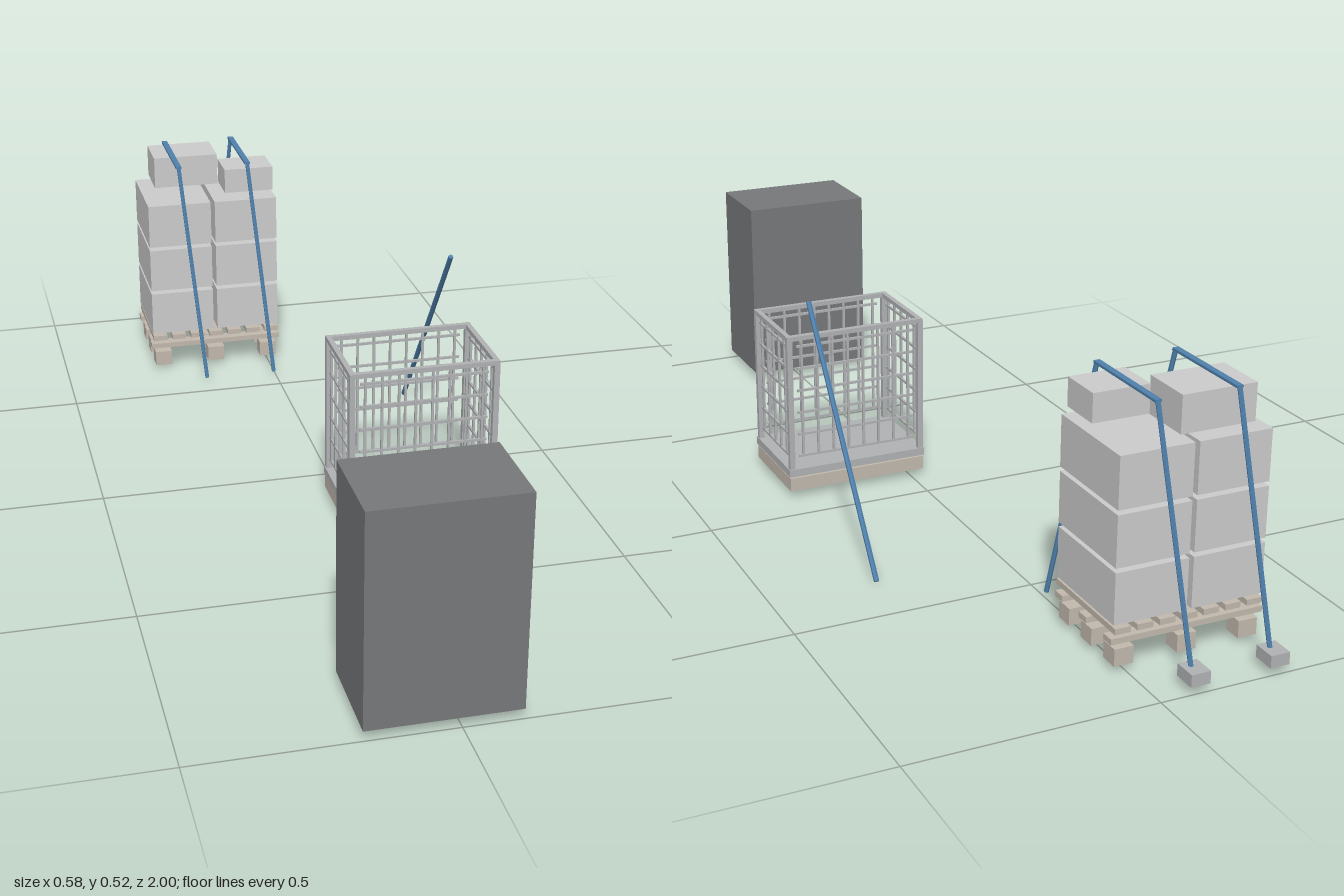
import * as THREE from 'three';

const mat = (color) => new THREE.MeshStandardMaterial({ color, flatShading: true });

export function createModel() {
  const model = new THREE.Group();
  model.name = 'cargoSet';
  const dark = mat(0x76787a), carton = mat(0xcccccc), steel = mat(0xb0b2b4);
  const wood = mat(0xc2b9ad), blue = mat(0x4f80ac);

  const group = (name) => {
    const g = new THREE.Group();
    g.name = name;
    model.add(g);
    return g;
  };
  // Box given by its lower and upper limits on each axis
  const box = (parent, name, material, [x0, x1], [y0, y1], [z0, z1]) => {
    const m = new THREE.Mesh(new THREE.BoxGeometry(x1 - x0, y1 - y0, z1 - z0), material);
    m.position.set((x0 + x1) / 2, (y0 + y1) / 2, (z0 + z1) / 2);
    m.name = name;
    parent.add(m);
  };
  const around = (c, size) => [c - size / 2, c + size / 2];
  // Straight bar between two points
  const bar = (parent, name, material, a, b, radius, sides = 6) => {
    const p = new THREE.Vector3(...a), q = new THREE.Vector3(...b);
    const m = new THREE.Mesh(new THREE.CylinderGeometry(radius, radius, p.distanceTo(q), sides), material);
    m.position.copy(p).lerp(q, 0.5);
    m.quaternion.setFromUnitVectors(new THREE.Vector3(0, 1, 0), q.sub(p).normalize());
    m.name = name;
    parent.add(m);
  };

  // Tall plain crate
  box(group('crate'), 'crateBody', dark, [-0.18, 0.115], [0.022, 0.45], [0.805, 1]);

  // Mesh cage on a solid base
  const cage = group('meshCage');
  const cx = 0.13, cz = 0.193, hx = 0.158, hz = 0.106;
  box(cage, 'cageBase', wood, [cx - hx, cx + hx], [0.017, 0.047], [cz - hz, cz + hz]);
  box(cage, 'cageFloor', steel, [cx - hx - 0.002, cx + hx + 0.002], [0.051, 0.068], [cz - hz - 0.002, cz + hz + 0.002]);
  for (const s of [-1, 1]) {
    const px = cx + s * (hx - 0.006), pz = cz + s * (hz - 0.006);
    for (const t of [-1, 1]) {
      box(cage, 'cornerPost', steel, around(px, 0.012), [0.068, 0.368], around(cz + t * (hz - 0.006), 0.012));
    }
    box(cage, 'topRail', steel, [cx - hx, cx + hx], [0.363, 0.373], around(pz, 0.011));
    box(cage, 'topRail', steel, around(px, 0.011), [0.363, 0.373], [cz - hz, cz + hz]);
    // Wire panels
    for (let i = 0; i < 6; i++) {
      const y = 0.096 + i * 0.0505;
      box(cage, 'wire', steel, around(cx, 0.27), around(y, 0.005), around(pz, 0.005));
      box(cage, 'wire', steel, around(px, 0.005), around(y, 0.005), around(cz, 0.166));
    }
    for (let i = 0; i < 8; i++) {
      box(cage, 'wire', steel, around(cx + (i - 3.5) * 0.0355, 0.005), [0.094, 0.365], around(pz, 0.005));
    }
    for (let i = 0; i < 5; i++) {
      box(cage, 'wire', steel, around(px, 0.005), [0.094, 0.365], around(cz + (i - 2) * 0.036, 0.005));
    }
  }

  // Leaning pole
  bar(group('leaningPole'), 'pole', blue, [0.276, 0.005, -0.367], [0.276, 0.484, -0.018], 0.0055);

  // Pallet: blocks, stringers along x, slats along z
  const pallet = group('pallet');
  const sx = -0.13, sz = -0.765;
  for (const k of [-1, 0, 1]) {
    box(pallet, 'stringer', wood, [sx - 0.161, sx + 0.161], [0.058, 0.07], around(sz + k * 0.093, 0.028));
    for (const j of [-1, 0, 1]) {
      box(pallet, 'block', wood, around(sx + j * 0.132, 0.04), [0.012, 0.047], around(sz + k * 0.086, 0.04));
    }
  }
  for (let i = -3; i <= 3; i++) {
    box(pallet, 'slat', wood, around(sx + i * 0.0465, 0.033), [0.08, 0.092], around(sz, 0.224));
  }

  // Stacked cartons
  const cartons = group('cartons');
  for (let row = 0; row < 3; row++) {
    const y = 0.098 + row * 0.113;
    for (const s of [-1, 1]) {
      box(cartons, 'carton', carton, around(sx + s * 0.081, 0.152), [y, y + 0.104], around(sz, 0.216));
    }
  }
  box(cartons, 'topCarton', carton, [-0.255, -0.1], [0.443, 0.518], [-0.863, -0.753]);
  box(cartons, 'topCarton', carton, [-0.097, 0.021], [0.446, 0.504], [-0.76, -0.667]);

  // Tie-down straps with rear anchors
  const straps = group('tieDowns');
  for (const x of [-0.21, -0.043]) {
    bar(straps, 'frontStrap', blue, [x + 0.038, 0.012, -0.556], [x, 0.52, -0.658], 0.005);
    box(straps, 'topStrap', blue, around(x, 0.013), [0.518, 0.523], [-0.876, -0.656]);
    bar(straps, 'backStrap', blue, [x, 0.52, -0.874], [x - 0.037, 0.012, -0.975], 0.005);
    box(straps, 'anchor', steel, around(x - 0.038, 0.04), [0.017, 0.042], [-1, -0.952]);
  }
  return model;
}
